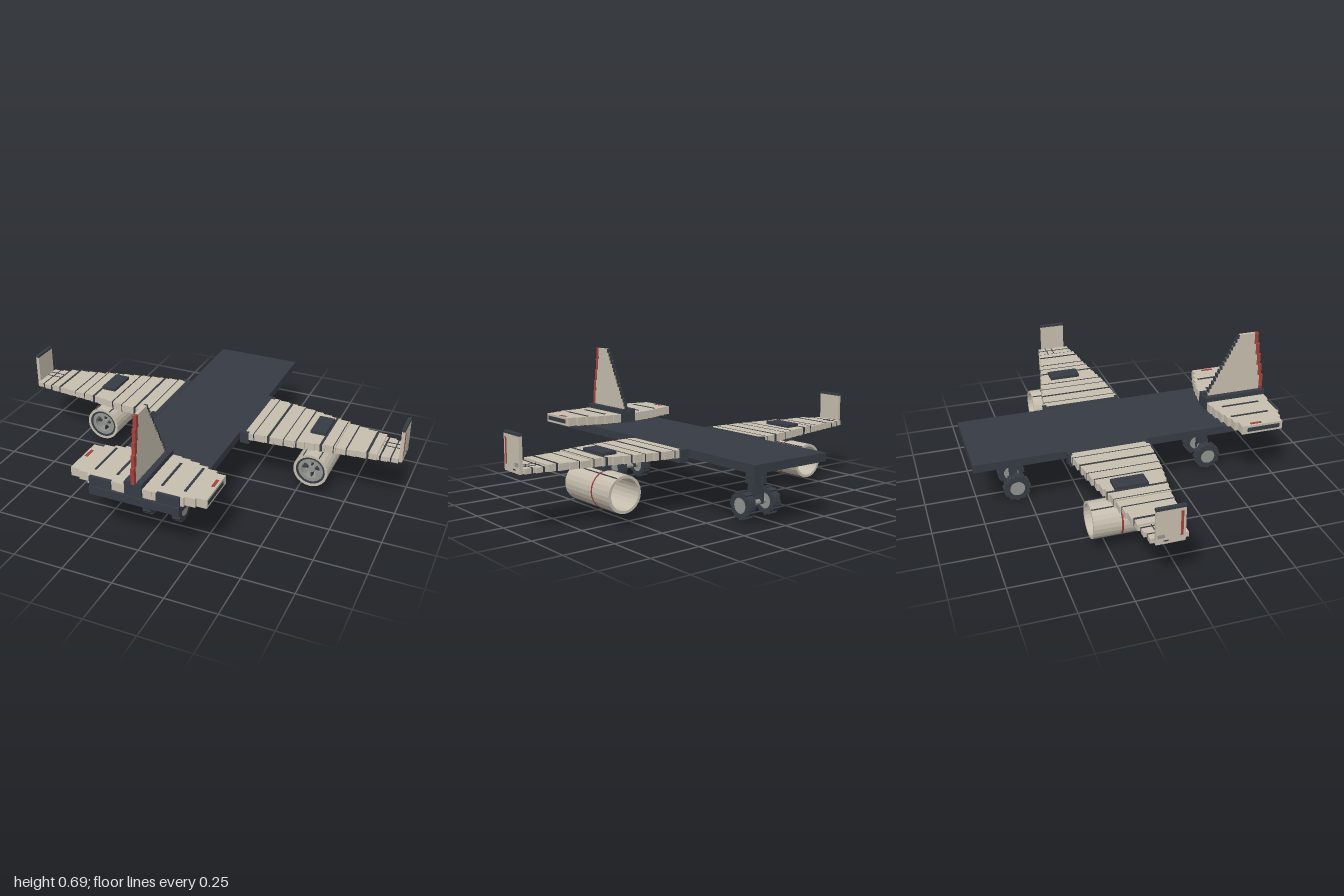
import * as THREE from 'three';

const mat = (name, color, extra = {}) => {
  const m = new THREE.MeshStandardMaterial({ color, ...extra });
  m.name = name;
  return m;
};

export function createModel() {
  const cream = mat('cream', 0xc6beae, { flatShading: true });
  const dark = mat('charcoal', 0x363b44, { flatShading: true });
  const red = mat('red', 0xa3423d);
  const grey = mat('grey', 0x92948f, { flatShading: true });

  const model = new THREE.Group();
  model.name = 'aeroplane';

  const group = (name, parent = model) => {
    const g = new THREE.Group();
    g.name = name;
    parent.add(g);
    return g;
  };
  const add = (parent, name, geo, material, x = 0, y = 0, z = 0) => {
    const m = new THREE.Mesh(geo, material);
    m.name = name;
    m.position.set(x, y, z);
    parent.add(m);
    return m;
  };
  // Box given by its limits on each axis
  const box = (parent, name, material, x0, x1, y0, y1, z0, z1) =>
    add(parent, name, new THREE.BoxGeometry(Math.abs(x1 - x0), y1 - y0, Math.abs(z1 - z0)), material,
      (x0 + x1) / 2, (y0 + y1) / 2, (z0 + z1) / 2);
  // Ring or tube along z with a square section
  const ring = (parent, name, material, inner, outer, z0, z1, sides = 24) => {
    const pts = [[inner, z0], [outer, z0], [outer, z1], [inner, z1], [inner, z0]]
      .map(([r, z]) => new THREE.Vector2(r, z));
    return add(parent, name, new THREE.LatheGeometry(pts, sides).rotateX(Math.PI / 2), material);
  };
  const lerp = THREE.MathUtils.lerp;
  // Linear lookup in a list of [x, value]
  const sample = (list, x) => {
    for (let i = 1; i < list.length; i++) {
      const [a, va] = list[i - 1], [b, vb] = list[i];
      if (x <= b) return lerp(va, vb, Math.max(0, (x - a) / (b - a)));
    }
    return list[list.length - 1][1];
  };

  box(model, 'fuselageDeck', dark, -0.22, 0.22, 0.27, 0.31, -0.78, 0.78);

  // Wing outline, stepped like plates
  const lead = [[0.24, -0.325], [0.42, -0.295], [0.62, -0.25], [0.84, -0.205], [1, -0.17]];
  const trail = [[0.24, 0.065], [0.42, 0.053], [0.62, 0.022], [0.84, 0.0], [1, -0.022]];
  const top = x => (x < 0.67 ? 0.31 : x < 0.86 ? 0.305 : 0.297);

  for (const s of [1, -1]) {
    const wing = group(s > 0 ? 'leftWing' : 'rightWing');
    const steps = 15, w = (0.985 - 0.245) / steps;
    for (let i = 0; i < steps; i++) {
      const x = 0.245 + i * w;
      box(wing, 'wingPlate', cream, s * x, s * (x + w), 0.273, top(x), sample(lead, x), sample(trail, x));
    }
    // Panel gaps
    for (const [x, t] of [[0.29, 0.004], [0.364, 0.012], [0.44, 0.004], [0.5, 0.006], [0.62, 0.012],
      [0.68, 0.004], [0.74, 0.006], [0.84, 0.012], [0.9, 0.008], [0.95, 0.006]]) {
      const px = 0.245 + Math.floor((x - 0.245) / w) * w;
      box(wing, 'panelGap', dark, s * (x - t / 2), s * (x + t / 2), 0.272, top(px) + 0.001,
        sample(lead, px) - 0.001, sample(trail, px) + 0.001);
    }
    // Root fittings
    box(wing, 'rootStrip', dark, s * 0.22, s * 0.245, 0.25, 0.312, -0.335, 0.065);
    box(wing, 'rootBracket', dark, s * 0.24, s * 0.268, 0.25, 0.273, -0.33, 0.065);
    for (const [a, b] of [[-0.335, -0.315], [0.052, 0.068]])
      box(wing, 'rootCorner', dark, s * 0.24, s * 0.264, 0.26, 0.312, a, b);
    // Hatch and tip seams
    box(wing, 'wingHatch', dark, s * 0.54, s * 0.617, 0.305, 0.325, -0.218, -0.06);
    for (const z of [-0.145, -0.11])
      box(wing, 'tipSeam', dark, s * 0.89, s * 0.985, 0.296, 0.299, z - 0.002, z + 0.002);

    // Upright wing tip
    const tip = group('winglet', wing);
    box(tip, 'wingletPanel', cream, s * 0.984, s * 1.0, 0.27, 0.434, -0.165, -0.033);
    box(tip, 'wingletCap', dark, s * 0.983, s * 1.0, 0.434, 0.445, -0.166, -0.032);
    box(tip, 'wingletStripe', red, s * 0.999, s * 1.001, 0.3, 0.42, -0.056, -0.044);
    box(tip, 'wingletMark', grey, s * 0.999, s * 1.001, 0.3, 0.317, -0.158, -0.125);
    box(tip, 'wingletMark', dark, s * 0.999, s * 1.001, 0.282, 0.288, -0.13, -0.11);

    // Engine under the wing
    const engine = group('engine', wing);
    engine.position.set(s * 0.575, 0.15, 0);
    box(engine, 'pylon', dark, -0.02, 0.02, 0.078, 0.124, -0.2, -0.065);
    ring(engine, 'nacelle', cream, 0.074, 0.087, -0.33, 0.025);
    ring(engine, 'redBand', red, 0.08, 0.0885, -0.199, -0.191);
    ring(engine, 'exhaustSeal', dark, 0.064, 0.075, -0.03, 0.022);
    ring(engine, 'exhaustRing', grey, 0.047, 0.066, -0.03, 0.018);
    const hub = new THREE.CylinderGeometry(0.017, 0.017, 0.05, 12).rotateX(Math.PI / 2);
    add(engine, 'fanHub', hub, grey, 0, 0, -0.015);
    for (let i = 0; i < 8; i++) {
      const a = (i / 8) * Math.PI * 2;
      const vane = add(engine, 'fanVane', new THREE.BoxGeometry(0.04, 0.008, 0.03), i % 2 ? grey : dark,
        Math.cos(a) * 0.032, Math.sin(a) * 0.032, -0.015);
      vane.rotation.z = a;
    }
    // Lengthwise casing seams
    for (const y of [-0.078, 0.078]) for (const x of [-0.04, 0.04])
      box(engine, 'casingSeam', dark, x - 0.002, x + 0.002, y - 0.002, y + 0.002, -0.328, 0.023);
  }

  // Tailplane
  const tail = group('tailplane');
  const tailLead = [[0.04, 0.452], [0.14, 0.468], [0.25, 0.5], [0.33, 0.53]];
  const tailTrail = [[0.04, 0.77], [0.2, 0.765], [0.24, 0.752], [0.33, 0.73]];
  for (const s of [1, -1]) {
    const n = 6, w = (0.333 - 0.04) / n;
    for (let i = 0; i < n; i++) {
      const x = 0.04 + i * w;
      box(tail, 'tailPlate', cream, s * x, s * (x + w), 0.312, 0.356,
        sample(tailLead, x + w / 2), sample(tailTrail, x + w / 2));
    }
    for (const x of [0.11, 0.22])
      box(tail, 'tailGap', dark, s * (x - 0.006), s * (x + 0.006), 0.35, 0.358, 0.51, 0.71);
    box(tail, 'trailingStrip', dark, s * 0.11, s * 0.22, 0.312, 0.357, 0.757, 0.774);
    box(tail, 'tailMark', red, s * 0.308, s * 0.322, 0.352, 0.358, 0.572, 0.63);
    box(tail, 'tailEndSlot', dark, s * 0.331, s * 0.334, 0.323, 0.345, 0.55, 0.72);
    box(tail, 'finMountSide', dark, s * 0.016, s * 0.043, 0.31, 0.38, 0.448, 0.775);
  }
  box(tail, 'finMount', dark, -0.02, 0.02, 0.31, 0.372, 0.448, 0.775);

  // Stepped fin with a dark leading edge and a red rudder edge
  const fin = group('fin');
  const rows = 16, h = (0.692 - 0.372) / rows;
  for (let i = 0; i < rows; i++) {
    const y = 0.372 + i * h;
    const front = lerp(0.462, 0.622, i / (rows - 1));
    const back = 0.776 - Math.floor(i / 3.2) * 0.01;
    box(fin, 'finRow', cream, -0.008, 0.008, y, y + h, front + 0.009, back - 0.02);
    box(fin, 'finLeadingEdge', dark, -0.0085, 0.0085, y, y + h, front, front + 0.009);
    box(fin, 'rudderEdge', red, -0.0085, 0.0085, y, y + h, back - 0.02, back);
  }

  // Twin wheel landing gear, front and rear
  for (const [name, z] of [['noseGear', -0.555], ['tailGear', 0.45]]) {
    const gear = group(name);
    gear.position.z = z;
    box(gear, 'gearPlate', cream, -0.065, 0.065, 0.248, 0.271, -0.055, 0.055);
    box(gear, 'gearMount', dark, -0.04, 0.04, 0.226, 0.25, -0.033, 0.033);
    box(gear, 'gearLeg', dark, -0.018, 0.018, 0.11, 0.23, -0.018, 0.018);
    for (const s of [1, -1]) {
      box(gear, 'gearFork', dark, s * 0.018, s * 0.038, 0.16, 0.23, -0.031, 0.031);
      box(gear, 'gearArm', dark, s * 0.022, s * 0.036, 0.06, 0.17, -0.016, 0.016);
      const wheel = group('wheel', gear);
      wheel.position.set(s * 0.077, 0.068, 0);
      const disc = (r, len) => new THREE.CylinderGeometry(r, r, len, 20).rotateZ(Math.PI / 2);
      add(wheel, 'tyre', disc(0.061, 0.042), dark);
      add(wheel, 'wheelHub', disc(0.037, 0.045), grey);
      for (let i = 0; i < 12; i++) {
        const a = (i / 12) * Math.PI * 2;
        const lug = add(wheel, 'tyreLug', new THREE.BoxGeometry(0.04, 0.012, 0.018), dark,
          0, Math.cos(a) * 0.061, Math.sin(a) * 0.061);
        lug.rotation.x = a;
      }
    }
    add(gear, 'axle', new THREE.CylinderGeometry(0.012, 0.012, 0.13, 10).rotateZ(Math.PI / 2), grey, 0, 0.068, 0);
  }

  return model;
}
